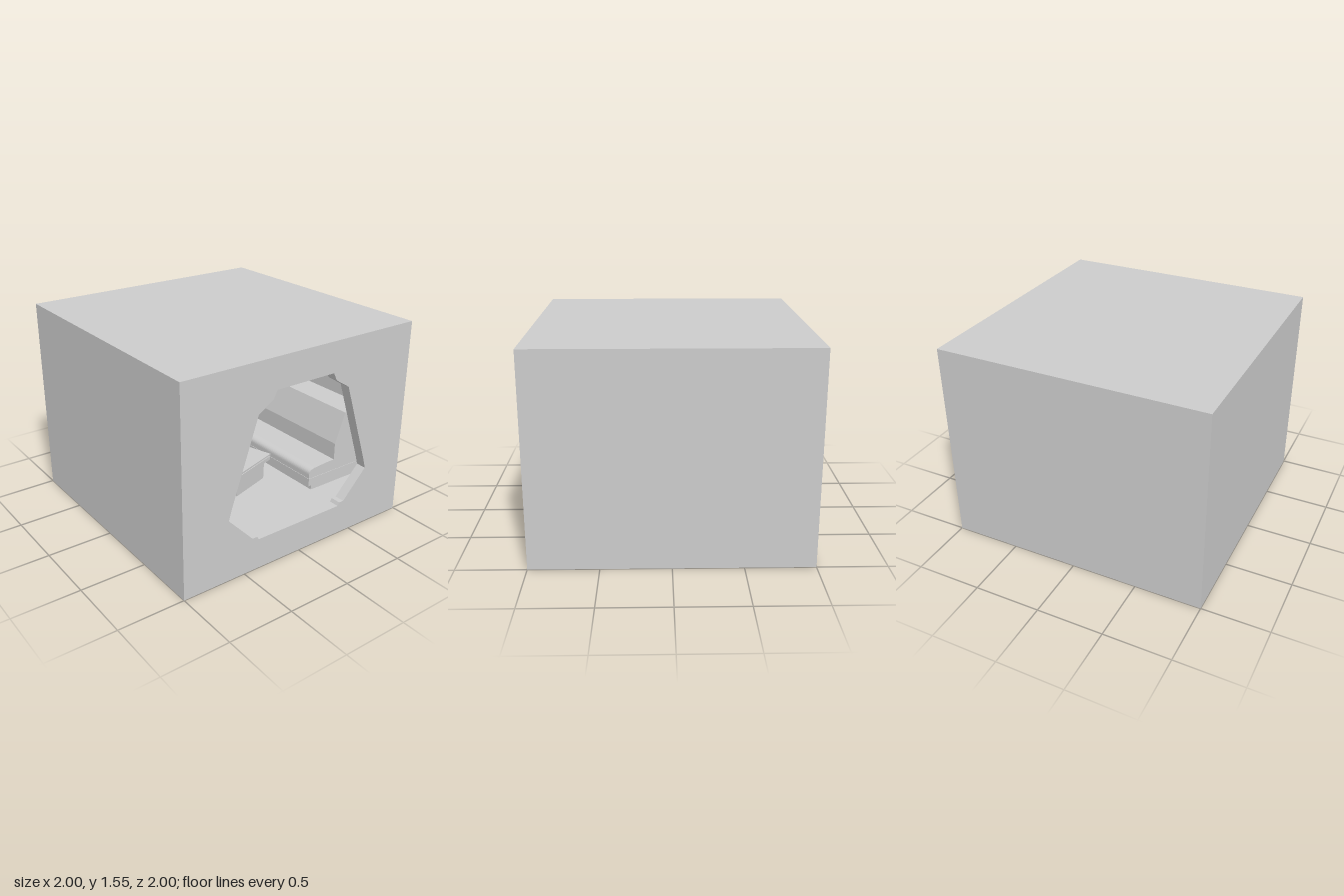
import * as THREE from 'three';

const grey = new THREE.MeshStandardMaterial({ color: 0xcccccc, flatShading: true });
const FLOOR = 0.235, CEIL = 1.32, WALL = 0.08, HEIGHT = 1.55;

function add(parent, name, geometry, x = 0, y = 0, z = 0) {
  const mesh = new THREE.Mesh(geometry, grey);
  mesh.name = name;
  mesh.position.set(x, y, z);
  parent.add(mesh);
  return mesh;
}

// Box given by its two extreme corners
function block(parent, name, x0, x1, y0, y1, z0, z1) {
  return add(parent, name, new THREE.BoxGeometry(x1 - x0, y1 - y0, z1 - z0),
    (x0 + x1) / 2, (y0 + y1) / 2, (z0 + z1) / 2);
}

// Box without its +z side; inward turns the faces to the inside
function openBox(w, h, d, inward) {
  const g = new THREE.BoxGeometry(w, h, d);
  const index = [...g.index.array].filter((_, i) => i < 24 || i >= 30);
  if (inward) {
    index.reverse();
    const n = g.attributes.normal;
    for (let i = 0; i < n.array.length; i++) n.array[i] *= -1;
  }
  g.setIndex(index);
  g.clearGroups();
  return g;
}

function extrude(shape, depth, curveSegments = 8) {
  return new THREE.ExtrudeGeometry(shape, { depth, bevelEnabled: false, curveSegments });
}

const toShape = pts => new THREE.Shape(pts.map(p => new THREE.Vector2(...p)));

export function createModel() {
  const model = new THREE.Group();
  model.name = 'room';

  // Outer block and inner room, both open to the front wall
  const depth = 2 - WALL, zMid = -WALL / 2;
  add(model, 'outerShell', openBox(2, HEIGHT, depth, false), 0, HEIGHT / 2, zMid);
  const roomDepth = 2 - 2 * WALL, half = 1 - WALL;
  add(model, 'innerRoom', openBox(2 * half, CEIL - FLOOR, roomDepth, true),
    0, (CEIL + FLOOR) / 2, 0);

  // Front wall with the angular opening
  const front = toShape([[-1, 0], [1, 0], [1, HEIGHT], [-1, HEIGHT]]);
  const side = [[0.375, FLOOR], [0.39, 0.26], [0.43, 0.26], [0.635, 0.475],
    [0.61, 0.56], [0.4, 1.185], [0.28, 1.26], [0.25, CEIL]];
  const outline = [...side, ...side.map(([x, y]) => [-x, y]).reverse()];
  front.holes.push(new THREE.Path(outline.map(p => new THREE.Vector2(...p))));
  add(model, 'frontWall', extrude(front, WALL), 0, 0, half);

  // Sloping coves under the ceiling along the back and both sides
  const cove = toShape([[0, 1.185], [0.12, 1.26], [0.15, CEIL], [0, CEIL]]);
  const coveGeometry = extrude(cove, 2 * half);
  const coves = [['backCove', half, -half, -Math.PI / 2],
    ['rightCove', -half, -half, 0], ['leftCove', half, half, Math.PI]];
  for (const [name, x, z, turn] of coves) {
    add(model, name, coveGeometry, x, 0, z).rotation.y = turn;
  }

  // Tall cabinet and worktop along the right-hand wall
  block(model, 'tallCabinet', -half, -0.6, FLOOR, CEIL, 0.54, half);
  const counter = new THREE.Group();
  counter.name = 'counter';
  block(counter, 'counterBody', -half, -0.61, FLOOR, 0.59, -half, 0.54);
  block(counter, 'counterTrim', -half, -0.605, 0.59, 0.61, -half, 0.54);
  block(counter, 'counterTop', -half, -0.6, 0.61, 0.645, -half, 0.54);
  model.add(counter);

  // Turned table with a two-layer top
  const table = new THREE.Group();
  table.name = 'table';
  table.position.set(-0.08, 0, 0.015);
  table.rotation.y = 0.3;
  block(table, 'tableBody', -0.19, 0.17, FLOOR, 0.39, -0.395, 0.395);
  block(table, 'tableEndPanel', 0.17, 0.19, FLOOR, 0.39, -0.385, 0.385);
  block(table, 'tableTopLower', -0.2175, 0.2175, 0.39, 0.42, -0.425, 0.425);
  block(table, 'tableTopGroove', -0.21, 0.21, 0.42, 0.426, -0.418, 0.418);
  block(table, 'tableTopUpper', -0.2175, 0.2175, 0.426, 0.44, -0.425, 0.425);
  model.add(table);

  // Bench with a rounded cushion along the left-hand wall
  const bench = new THREE.Group();
  bench.name = 'bench';
  block(bench, 'benchPlinth', 0.38, half, FLOOR, 0.27, -0.8, 0.7);
  block(bench, 'benchBase', 0.355, half, 0.27, 0.333, -0.8, 0.7);
  const cushion = new THREE.Shape();
  cushion.moveTo(0.355, 0.336);
  cushion.lineTo(half, 0.336);
  cushion.lineTo(half, 0.425);
  cushion.lineTo(0.55, 0.425);
  cushion.lineTo(0.41, 0.415);
  cushion.quadraticCurveTo(0.355, 0.41, 0.355, 0.37);
  add(bench, 'benchCushion', extrude(cushion, 1.5), 0, 0, -0.8);
  const back = toShape([[0.61, 0.425], [half, 0.425], [half, 0.8], [0.7, 0.8], [0.61, 0.56]]);
  add(bench, 'benchBackrest', extrude(back, 1.5), 0, 0, -0.8);
  model.add(bench);

  return model;
}
